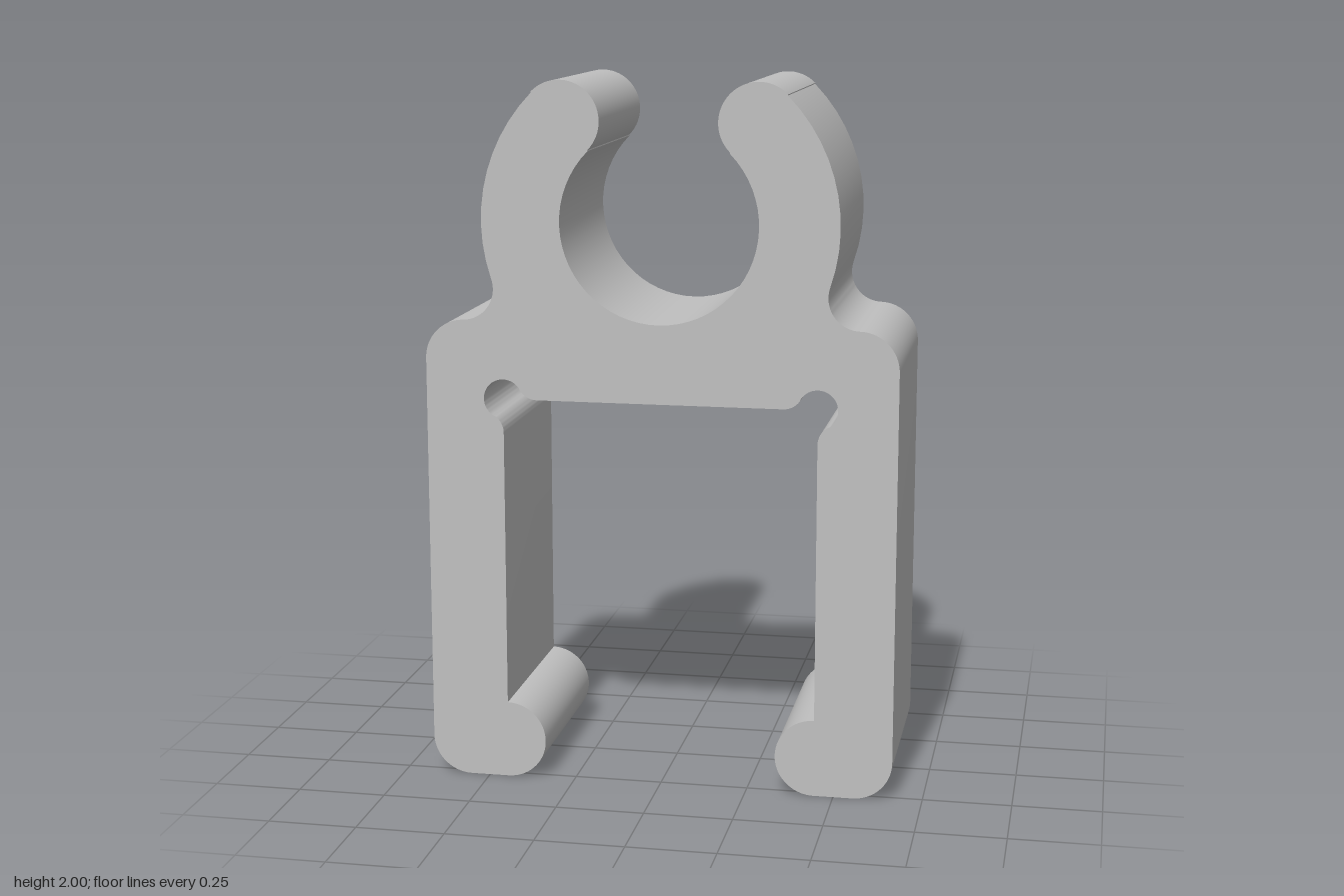
import * as THREE from 'three';
import { toCreasedNormals } from 'three/addons/utils/BufferGeometryUtils.js';

const DEPTH = 0.555;

// Points along an arc, angles in degrees; decreasing angles run clockwise
function arc(cx, cy, r, from, to) {
  const n = Math.ceil(Math.abs(to - from) / 6);
  return Array.from({ length: n + 1 }, (_, i) => {
    const a = THREE.MathUtils.degToRad(from + ((to - from) * i) / n);
    return new THREE.Vector2(cx + r * Math.cos(a), cy + r * Math.sin(a));
  });
}

// Right half of the clip outline, from under the bridge round to the cradle floor
function halfOutline() {
  return [
    ...arc(0.348, 1.167, 0.056, -90, -30), // lip from bridge into relief
    ...arc(0.444, 1.111, 0.056, 150, -60), // round corner relief
    ...arc(0.5, 1.015, 0.056, 120, 180), // lip from relief into leg
    ...arc(0.444, 0.111, 0.111, 90, 270), // hooked foot
    ...arc(0.555, 0.111, 0.111, -90, 0), // lower outer corner
    ...arc(0.555, 1.222, 0.111, 0, 90), // shoulder
    ...arc(0.558, 1.422, 0.089, 270, 161.3), // fillet below the ring
    ...arc(0, 1.611, 0.5, -18.7, 45), // outside of the ring
    ...arc(0.2755, 1.889, 0.111, 45, 225), // rounded jaw tip
    ...arc(0, 1.611, 0.278, 45, -90), // inside of the ring
  ];
}

export function createModel() {
  const grey = new THREE.MeshStandardMaterial({ color: 0xc0c0c0 });
  grey.name = 'grey plastic';

  // Mirror the half and drop coincident points
  const right = halfOutline();
  const left = right.map((p) => new THREE.Vector2(-p.x, p.y)).reverse();
  const all = [...right, ...left];
  const outline = all.filter((p, i) => p.distanceTo(all[(i + 1) % all.length]) > 0.002);

  const solid = new THREE.ExtrudeGeometry(new THREE.Shape(outline), {
    depth: DEPTH,
    bevelEnabled: false,
  });
  solid.translate(0, 0, -DEPTH / 2);

  const clip = new THREE.Mesh(toCreasedNormals(solid, 0.5), grey);
  clip.name = 'clipBody';

  const model = new THREE.Group();
  model.name = 'mountingClip';
  model.add(clip);
  return model;
}
